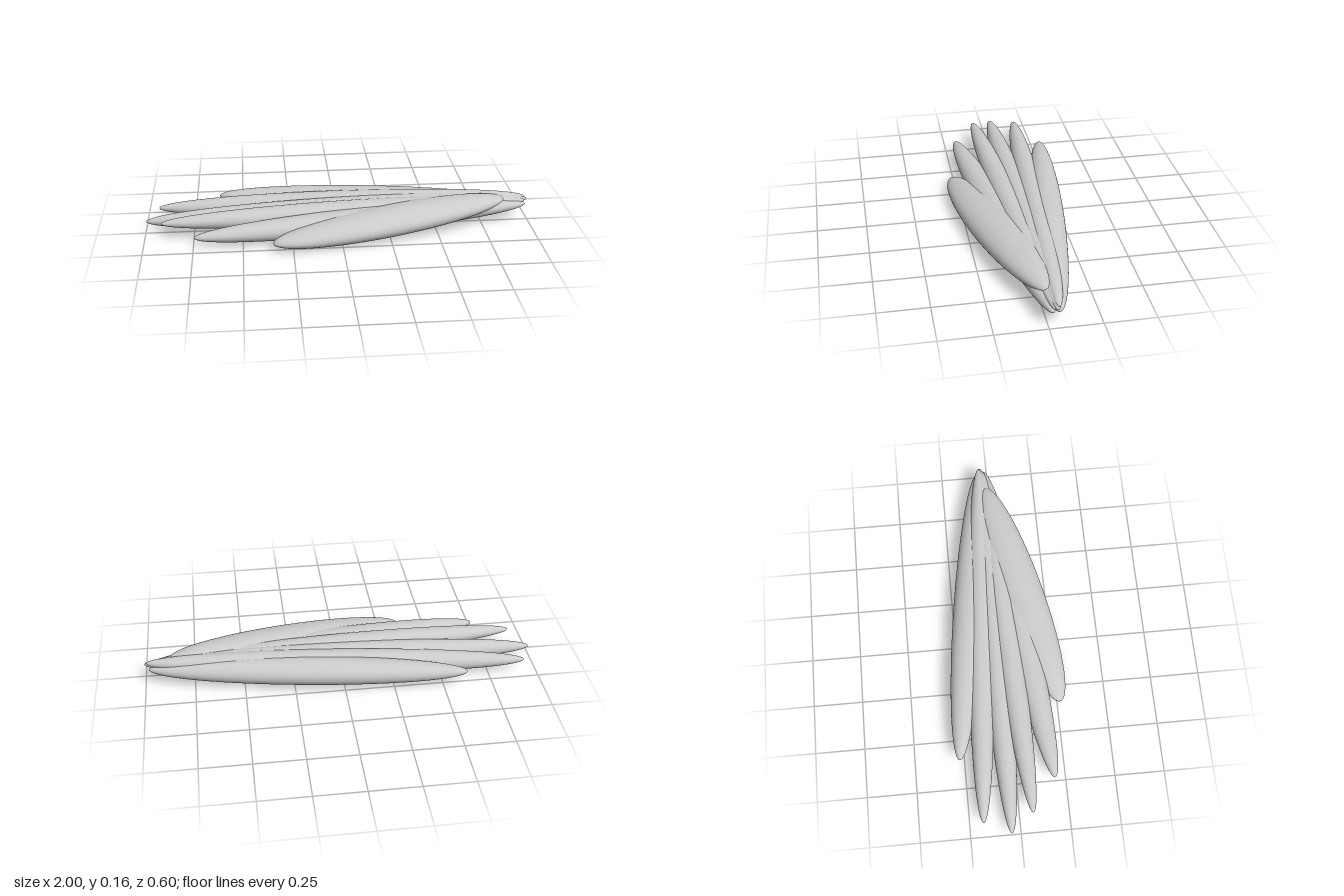
import * as THREE from 'three';

// Each feather: tip position, root position, half width, half height, roll
const FEATHERS = [
  { tip: [-0.62, 0.08, -0.272], root: [0.98, 0.08, -0.05], w: 0.083, h: 0.068, roll: 0 },
  { tip: [-0.94, 0.06, -0.18], root: [0.99, 0.115, -0.045], w: 0.068, h: 0.062, roll: 0 },
  { tip: [-1.0, 0.047, -0.045], root: [1.0, 0.105, -0.04], w: 0.07, h: 0.067, roll: 0 },
  { tip: [-0.915, 0.085, 0.068], root: [0.99, 0.1, -0.03], w: 0.067, h: 0.058, roll: 0 },
  { tip: [-0.745, 0.06, 0.195], root: [0.99, 0.085, -0.02], w: 0.079, h: 0.063, roll: 0 },
  { tip: [-0.35, 0.045, 0.265], root: [0.87, 0.12, -0.02], w: 0.113, h: 0.067, roll: 0.1 },
];

export function createModel() {
  const model = new THREE.Group();
  model.name = 'featherFan';
  const material = new THREE.MeshStandardMaterial({ color: 0xcccccc });
  // Unit sphere with its poles on the long (x) axis
  const blade = new THREE.SphereGeometry(1, 40, 32).rotateZ(-Math.PI / 2);

  FEATHERS.forEach(({ tip, root, w, h, roll }, i) => {
    const a = new THREE.Vector3(...tip);
    const b = new THREE.Vector3(...root);
    const along = b.clone().sub(a);
    const half = along.length() / 2;

    // Axes of the feather: along its length, sideways and up
    const x = along.normalize();
    const z = new THREE.Vector3().crossVectors(x, new THREE.Vector3(0, 1, 0)).normalize();
    const y = new THREE.Vector3().crossVectors(z, x);

    const feather = new THREE.Mesh(blade, material);
    feather.name = `feather${i + 1}`;
    feather.quaternion.setFromRotationMatrix(new THREE.Matrix4().makeBasis(x, y, z));
    feather.rotateX(roll);
    feather.position.copy(a).add(b).multiplyScalar(0.5);
    feather.scale.set(half, h, w);
    model.add(feather);
  });

  return model;
}
